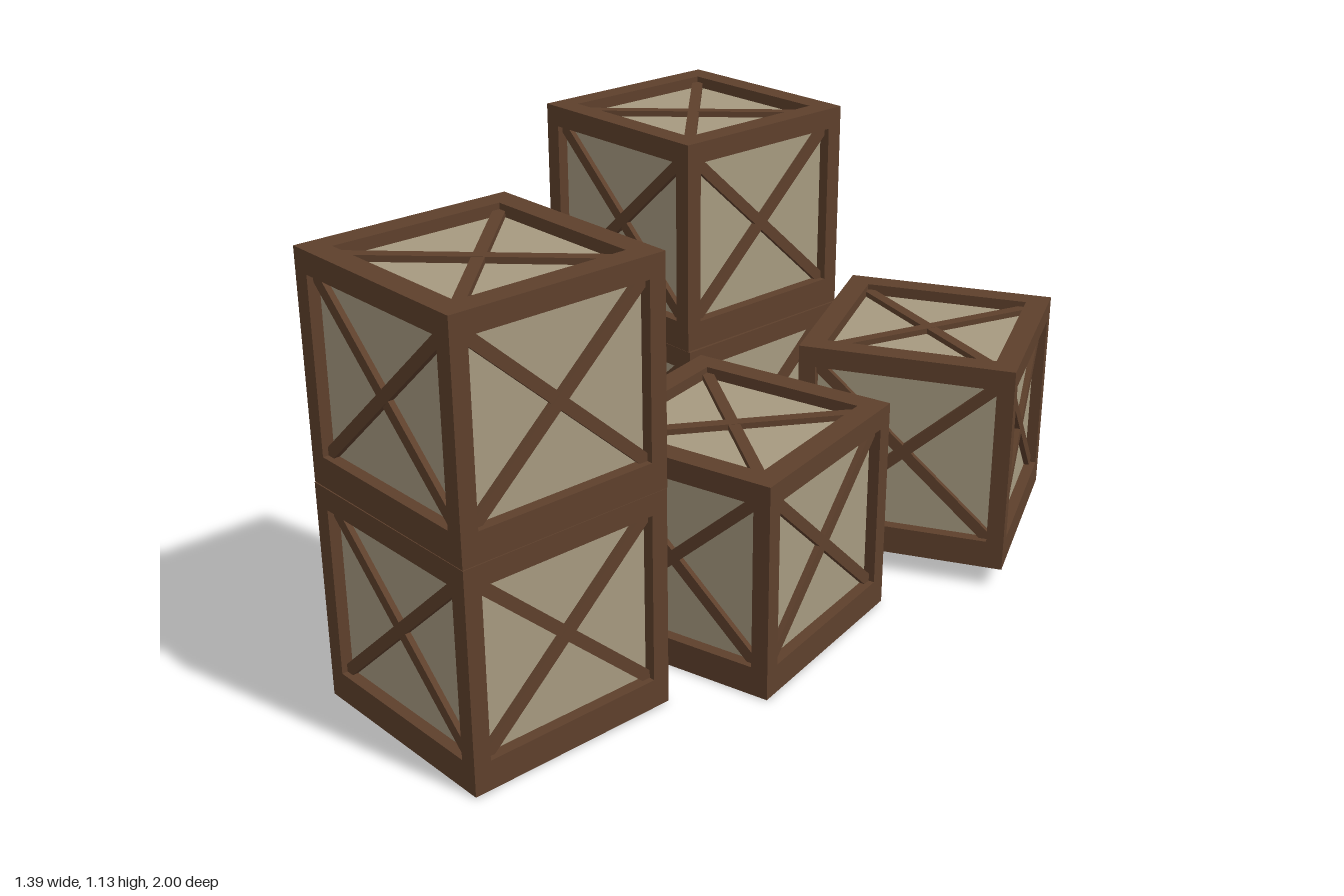
import * as THREE from 'three';

const S = 0.567;        // crate side
const POST = 0.045;     // corner post width
const RECESS = 0.03;    // panel depth behind the frame
const LID = 0.055, LID_WIDTH = 0.06;
const BASE = 0.078;

const wood = new THREE.MeshStandardMaterial({ color: 0x5e402c });
const board = new THREE.MeshStandardMaterial({ color: 0xa69a80 });

function add(parent, name, geometry, material, x = 0, y = 0, z = 0) {
  const mesh = new THREE.Mesh(geometry, material);
  mesh.name = name;
  mesh.position.set(x, y, z);
  parent.add(mesh);
  return mesh;
}

// Square ring lying flat, rising from y = 0
function ringGeometry(width, height) {
  const square = (h, Type) => new Type([
    new THREE.Vector2(-h, -h), new THREE.Vector2(h, -h),
    new THREE.Vector2(h, h), new THREE.Vector2(-h, h),
  ]);
  const shape = square(S / 2, THREE.Shape);
  shape.holes.push(square(S / 2 - width, THREE.Path));
  return new THREE.ExtrudeGeometry(shape, { depth: height, bevelEnabled: false }).rotateX(-Math.PI / 2);
}

// Two crossed battens facing +z, spanning an opening of w by h
function crossBrace(w, h) {
  const brace = new THREE.Group();
  brace.name = 'crossBrace';
  const angle = Math.atan2(h, w);
  for (const s of [-1, 1]) {
    const batten = new THREE.BoxGeometry(Math.hypot(w, h) + 0.02, 0.03, 0.018);
    add(brace, 'batten', batten, wood, 0, 0, s * 0.0004).rotation.z = s * angle;
  }
  return brace;
}

function crate() {
  const g = new THREE.Group();
  g.name = 'crate';

  // Frame: base ring, posts, lid ring
  add(g, 'baseFrame', ringGeometry(POST, BASE - 0.002), wood, 0, 0.002);
  add(g, 'lidFrame', ringGeometry(LID_WIDTH, LID), wood, 0, S - LID);
  const postHeight = S - LID - BASE;
  const p = (S - POST) / 2;
  for (const x of [-p, p]) for (const z of [-p, p]) {
    add(g, 'cornerPost', new THREE.BoxGeometry(POST, postHeight, POST), wood, x, BASE + postHeight / 2, z);
  }

  // Recessed boards and plain underside
  const inner = S - 2 * RECESS, innerHeight = S - RECESS - 0.01;
  add(g, 'panels', new THREE.BoxGeometry(inner, innerHeight, inner), board, 0, 0.01 + innerHeight / 2, 0);
  add(g, 'underside', new THREE.PlaneGeometry(S, S).rotateX(Math.PI / 2), board);

  // Crossed battens on the four sides and the top
  const out = S / 2 - RECESS + 0.006;
  for (let i = 0; i < 4; i++) {
    const a = i * Math.PI / 2;
    const brace = crossBrace(S - 2 * POST, postHeight);
    brace.position.set(Math.sin(a) * out, BASE + postHeight / 2, Math.cos(a) * out);
    brace.rotation.y = a;
    g.add(brace);
  }
  const open = S - 2 * LID_WIDTH;
  const topBrace = crossBrace(open, open);
  topBrace.position.y = S - RECESS + 0.006;
  topBrace.rotation.x = -Math.PI / 2;
  g.add(topBrace);
  return g;
}

export function createModel() {
  const model = new THREE.Group();
  model.name = 'crateStacks';
  // name, x, y, z, turn
  const layout = [
    ['backLowerCrate', -0.325, 0, -0.635, -0.355],
    ['backUpperCrate', -0.328, S, -0.635, -0.36],
    ['frontLowerCrate', -0.213, 0, 0.632, -0.365],
    ['frontUpperCrate', -0.212, S, 0.632, -0.368],
    ['middleCrate', 0.118, 0, 0.046, -0.13],
    ['raisedCrate', 0.374, 0.052, -0.648, 0.133],
  ];
  for (const [name, x, y, z, turn] of layout) {
    const c = crate();
    c.name = name;
    c.position.set(x, y, z);
    c.rotation.y = turn;
    model.add(c);
  }
  return model;
}
